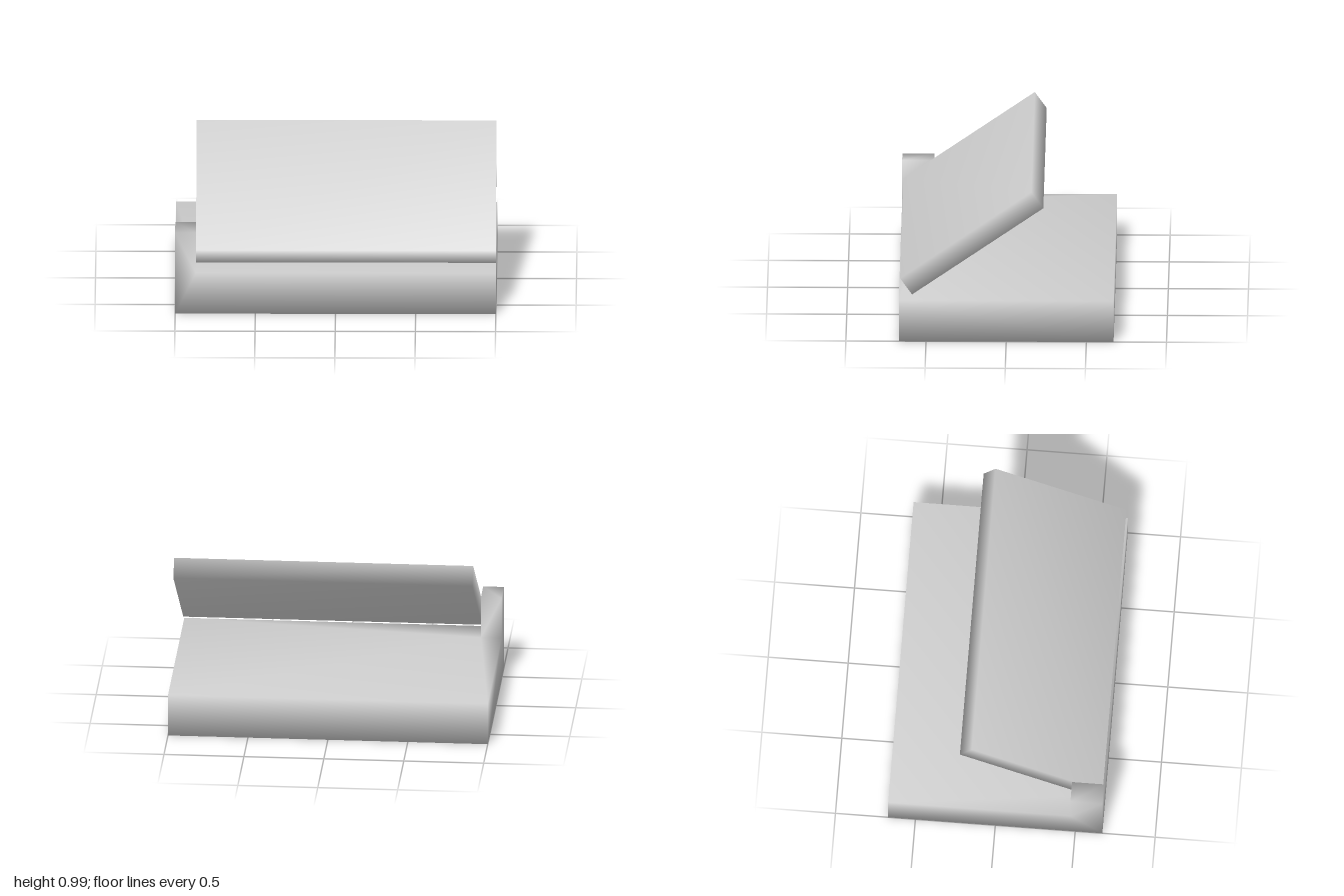
import * as THREE from 'three';
import { mergeVertices } from 'three/addons/utils/BufferGeometryUtils.js';

// Solid with shared corners, so that its normals blend across the edges.
// Each loop is counter-clockwise from outside; a concave corner comes first.
function solidFromLoops(corners, loops) {
  const index = [];
  for (const loop of loops) {
    for (let i = 1; i < loop.length - 1; i++) index.push(loop[0], loop[i], loop[i + 1]);
  }
  const geometry = new THREE.BufferGeometry();
  geometry.setAttribute('position', new THREE.Float32BufferAttribute(corners.flat(), 3));
  geometry.setIndex(index);
  geometry.computeVertexNormals();
  return geometry;
}

export function createModel() {
  const model = new THREE.Group();
  model.name = 'hingedPlatform';
  const gray = new THREE.MeshStandardMaterial({ color: 0xcccccc });
  gray.name = 'light gray';

  const W = 1, D = 0.67, H = 0.27;              // base half width, half depth, height
  const PX = -0.87, PZ = 0.47, PH = 0.535;      // post inner side, back and top

  // Base slab with the corner post rising from its front right corner
  const corners = [
    [-W, 0, -D], [W, 0, -D], [W, 0, D], [-W, 0, D],               // 0-3 underside
    [-W, H, -D], [W, H, -D], [W, H, D],                           // 4-6 deck corners
    [PX, H, D], [PX, H, PZ], [-W, H, PZ],                         // 7-9 post foot
    [-W, PH, PZ], [PX, PH, PZ], [PX, PH, D], [-W, PH, D],         // 10-13 post top
  ];
  const base = new THREE.Mesh(solidFromLoops(corners, [
    [0, 1, 2, 3],             // underside
    [8, 7, 6, 5, 4, 9],       // deck
    [7, 12, 13, 3, 2, 6],     // front
    [9, 4, 0, 3, 13, 10],     // side with the post
    [1, 5, 6, 2],             // other side
    [0, 4, 5, 1],             // back
    [10, 13, 12, 11],         // post top
    [7, 8, 11, 12],           // post inner side
    [8, 9, 10, 11],           // post back
  ]), gray);
  base.name = 'baseWithPost';
  model.add(base);

  // Tilted panel, hinged at the front and raised at the back
  let panelGeometry = new THREE.BoxGeometry(W - PX, 0.13, 1);
  panelGeometry.deleteAttribute('normal');
  panelGeometry.deleteAttribute('uv');
  panelGeometry = mergeVertices(panelGeometry);
  panelGeometry.computeVertexNormals();
  const panel = new THREE.Mesh(panelGeometry, gray);
  panel.name = 'tiltedPanel';
  panel.position.set((W + PX) / 2, 0.65, 0.215);
  panel.rotation.x = THREE.MathUtils.degToRad(35);
  model.add(panel);

  return model;
}
